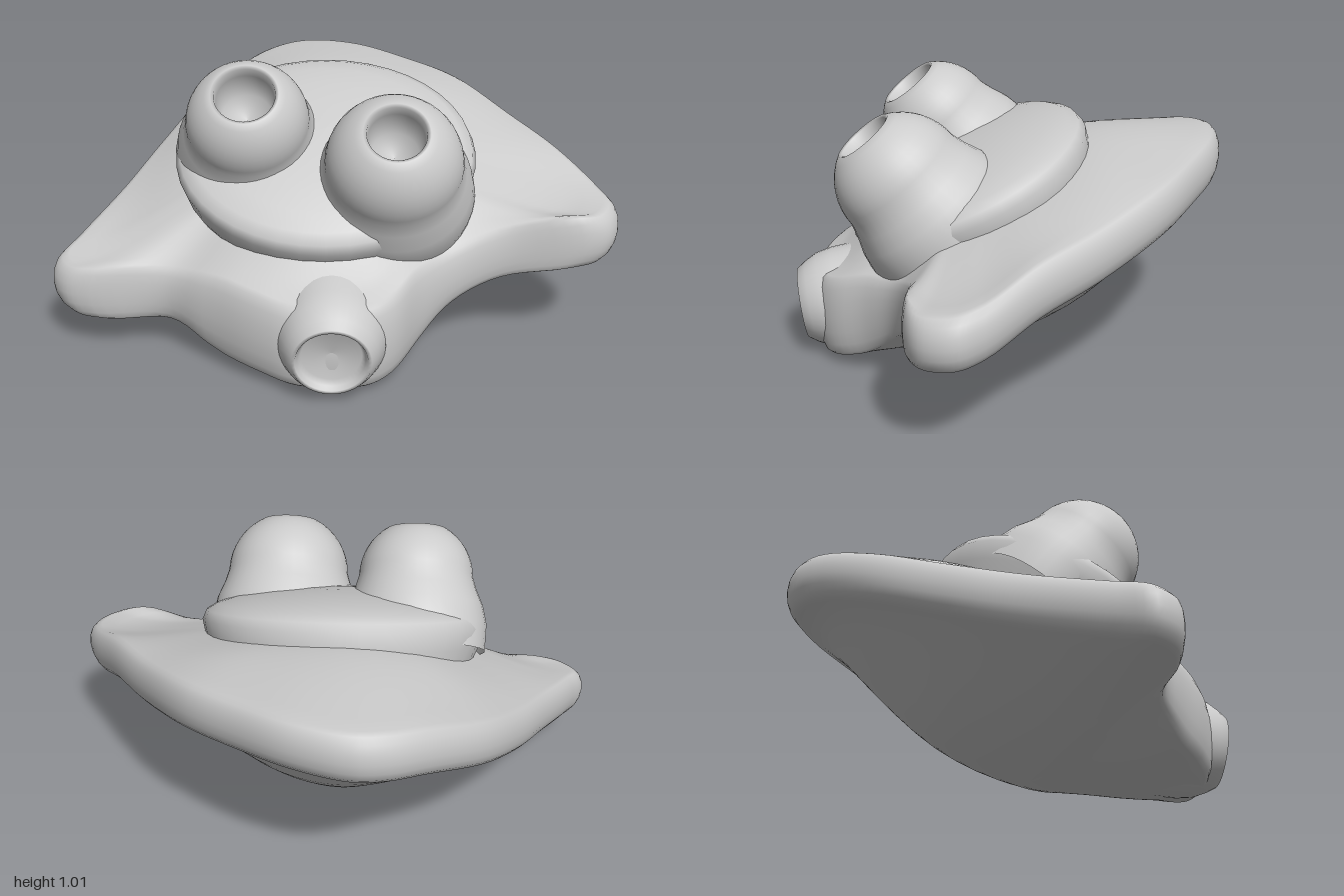
import * as THREE from 'three';

const material = new THREE.MeshStandardMaterial({ color: 0xcccccc, side: THREE.DoubleSide });
const { smoothstep, lerp } = THREE.MathUtils;

function addMesh(parent, name, geometry) {
  const mesh = new THREE.Mesh(geometry, material);
  mesh.name = name;
  parent.add(mesh);
  return mesh;
}

// Lathe a profile, then point its axis along a direction
function turned(parent, name, profile, position, axis) {
  const points = profile.map(([r, t]) => new THREE.Vector2(r, t));
  const mesh = addMesh(parent, name, new THREE.LatheGeometry(points, 40));
  mesh.position.set(...position);
  mesh.quaternion.setFromUnitVectors(new THREE.Vector3(0, 1, 0), new THREE.Vector3(...axis).normalize());
  return mesh;
}

// Smooth height curve through [position, height] points
function heightCurve(points) {
  const last = points.length - 1;
  const slope = i => {
    const a = points[Math.max(i - 1, 0)], b = points[Math.min(i + 1, last)];
    return (b[1] - a[1]) / (b[0] - a[0]);
  };
  return v => {
    let i = 0;
    while (i < last - 1 && v > points[i + 1][0]) i++;
    const [x0, y0] = points[i], [x1, y1] = points[i + 1];
    const w = x1 - x0, t = THREE.MathUtils.clamp((v - x0) / w, 0, 1), u = 1 - t;
    return u * u * (1 + 2 * t) * y0 + t * t * (3 - 2 * t) * y1
      + w * t * u * (u * slope(i) - t * slope(i + 1));
  };
}

// Belly and back heights along z, and how each changes across x
const bellyZ = heightCurve([[-0.8, 0.64], [-0.6, 0.4], [-0.4, 0.25], [-0.2, 0.14], [0.1, 0.04], [0.35, 0.015], [0.57, 0.005], [0.8, 0.03]]);
const bellyX = heightCurve([[-1, 0.16], [-0.6, 0.09], [-0.2, 0.02], [0, 0.005], [0.2, 0.045], [0.4, 0.15], [0.6, 0.25], [0.8, 0.32], [1, 0.36]]);
const backZ = heightCurve([[-0.8, 0.81], [-0.3, 0.8], [0, 0.72], [0.3, 0.61], [0.5, 0.53], [0.6, 0.46], [0.73, 0.35]]);
const backX = heightCurve([[-1, -0.24], [-0.8, -0.2], [-0.55, -0.11], [-0.3, -0.03], [0, 0], [0.5, -0.05], [0.8, -0.09], [1, -0.1]]);

// Rim of the body: x, middle height, z; from the back tip round by +x
const RIM = [
  [-0.1, 0.7, -0.81], [0.1, 0.7, -0.75], [0.3, 0.68, -0.62], [0.5, 0.65, -0.46],
  [0.7, 0.58, -0.2], [0.85, 0.53, 0.03], [0.97, 0.46, 0.22], [1, 0.44, 0.32],
  [0.95, 0.43, 0.42], [0.85, 0.43, 0.46], [0.6, 0.38, 0.44], [0.42, 0.31, 0.48],
  [0.3, 0.25, 0.57], [0.2, 0.2, 0.69], [0.11, 0.18, 0.74], [-0.13, 0.18, 0.74],
  [-0.27, 0.2, 0.68], [-0.45, 0.22, 0.56], [-0.6, 0.24, 0.47], [-0.85, 0.24, 0.47],
  [-0.95, 0.24, 0.44], [-1, 0.25, 0.36], [-0.95, 0.28, 0.25], [-0.82, 0.36, 0],
  [-0.7, 0.45, -0.25], [-0.55, 0.56, -0.5], [-0.35, 0.66, -0.7], [-0.22, 0.69, -0.785],
];

// Body: rings run from the middle of the belly, round the rim, to the middle of the back
function bodyGeometry() {
  const around = 140, radial = 14, arc = 8;
  const curve = new THREE.CatmullRomCurve3(RIM.map(p => new THREE.Vector3(...p)), true);
  const centerZ = 0.1, inset = 0.94;
  const positions = [], index = [];
  const rings = 2 * radial + arc + 1;

  for (let j = 0; j < rings; j++) {
    const s = Math.min(j, rings - 1 - j, radial) / radial;
    const a = THREE.MathUtils.clamp((j - radial) / arc - 0.5, -0.5, 0.5) * Math.PI;
    const scale = inset * s + (1 - inset) * Math.cos(a);
    for (let i = 0; i < around; i++) {
      const p = curve.getPoint(i / around);
      const half = 0.095 + 0.06 * smoothstep(p.z, 0.42, 0.62);
      const x = p.x * scale, z = centerZ + (p.z - centerZ) * scale;
      const surface = a < 0 ? bellyZ(z) + bellyX(x) : backZ(z) + backX(x);
      positions.push(x, lerp(surface, p.y + half * Math.sin(a), s ** 4), z);
      if (j < rings - 1) {
        const k = (i + 1) % around;
        const c = j * around + i, d = j * around + k;
        index.push(c, c + around, d, d, c + around, d + around);
      }
    }
  }
  const geometry = new THREE.BufferGeometry();
  geometry.setAttribute('position', new THREE.Float32BufferAttribute(positions, 3));
  geometry.setIndex(index);
  geometry.computeVertexNormals();
  return geometry;
}

// Domed turret with a flared foot and an open socket
function turretProfile(radius, hole) {
  const profile = [[radius + 0.05, -0.28], [radius + 0.055, -0.18], [radius + 0.04, -0.11], [radius + 0.015, -0.05]];
  const end = Math.acos(hole / radius);
  for (let k = 0; k <= 8; k++) {
    const a = (end * k) / 8;
    profile.push([radius * Math.cos(a), radius * Math.sin(a)]);
  }
  const lip = radius * Math.sin(end);
  profile.push([hole - 0.012, lip - 0.005], [hole - 0.016, lip - 0.04], [hole - 0.03, lip - 0.14], [0, lip - 0.17]);
  return profile;
}

export function createModel() {
  const model = new THREE.Group();
  model.name = 'wingedBody';

  addMesh(model, 'body', bodyGeometry());

  // Raised round plate, sloping down to the front
  const plate = turned(model, 'raisedPlate', [
    [0.47, -0.2], [0.52, -0.08], [0.535, -0.01], [0.52, 0.025], [0.48, 0.05],
    [0.4, 0.077], [0.28, 0.1], [0.14, 0.115], [0, 0.12],
  ], [-0.03, 0.66, 0.17], [0, 0.91, 0.41]);
  plate.scale.z = 0.88;

  // Two turrets, set at different heights
  const tilt = [0, 0.78, 0.62];
  turned(model, 'rightTurret', turretProfile(0.215, 0.115), [-0.3, 0.8, 0.25], tilt);
  turned(model, 'leftTurret', turretProfile(0.235, 0.11), [0.2, 0.715, 0.42], tilt);

  // Front spout with an open end, widening into the body
  turned(model, 'spout', [
    [0.195, -0.12], [0.19, -0.02], [0.178, 0.04], [0.155, 0.085], [0.132, 0.118],
    [0.12, 0.118], [0.112, 0.1], [0.1, 0.08], [0, 0.07],
  ], [-0.01, 0.19, 0.68], [0, -0.13, 0.99]);

  return model;
}
